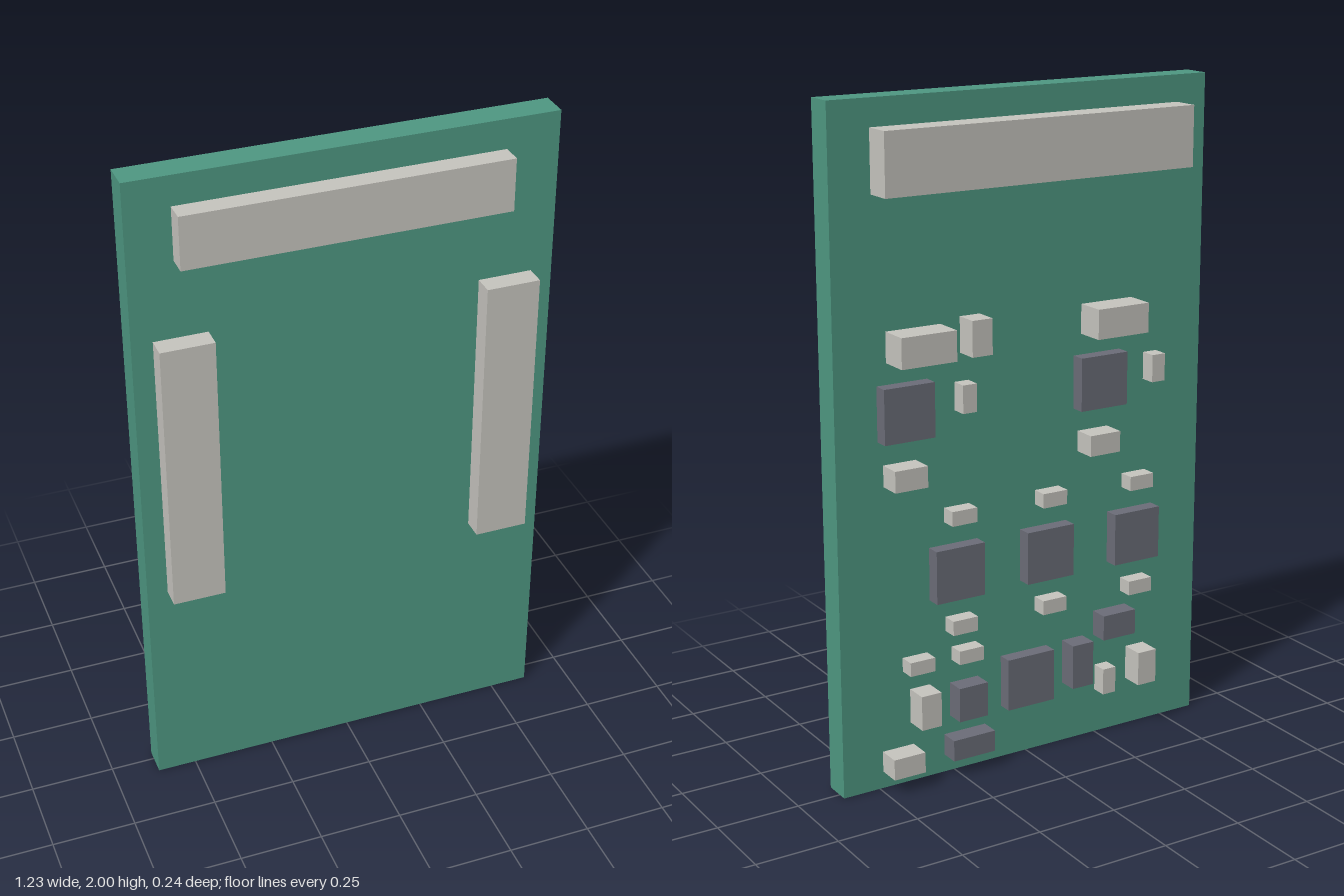
import * as THREE from 'three';

export function createModel() {
  const root = new THREE.Group();
  root.name = 'circuitBoard';

  const mat = (name, color) => {
    const m = new THREE.MeshStandardMaterial({ color });
    m.name = name;
    return m;
  };
  const green = mat('boardGreen', 0x4f9983);
  const pale = mat('paleGrey', 0xc8c6c0);
  const dark = mat('darkGrey', 0x6c6e79);

  const FRONT = 0.057, BACK = -0.028;

  // Box given by its extents on each axis
  function box(name, material, x0, x1, y0, y1, z0, z1) {
    const mesh = new THREE.Mesh(new THREE.BoxGeometry(x1 - x0, y1 - y0, z1 - z0), material);
    mesh.position.set((x0 + x1) / 2, (y0 + y1) / 2, (z0 + z1) / 2);
    mesh.name = name;
    root.add(mesh);
  }
  // Component standing on the back of the board
  const onBack = (name, material, height, x0, x1, y0, y1) =>
    box(name, material, x0, x1, y0, y1, BACK - height, BACK);

  box('board', green, -0.617, 0.617, 0, 2, BACK, FRONT);

  // Front connectors
  box('topFrontConnector', pale, -0.487, 0.461, 1.753, 1.911, FRONT, 0.119);
  box('rightFrontConnector', pale, -0.556, -0.4, 0.677, 1.52, FRONT, 0.119);
  box('leftFrontConnector', pale, 0.393, 0.553, 0.677, 1.52, FRONT, 0.119);

  // Long connector at the top of the back
  onBack('backConnector', pale, 0.083, -0.518, 0.491, 1.742, 1.921);

  // Two regulator clusters: large capacitor, chip, small and medium parts
  for (const cx of [0.405, -0.245]) {
    onBack('largeCapacitor', pale, 0.091, cx - (cx > 0 ? 0.125 : 0.12), cx + (cx > 0 ? 0.049 : 0.055), 1.272, 1.361);
    onBack('regulatorChip', dark, 0.044, cx - 0.08, cx + 0.08, 1.05, 1.21);
    onBack('smallUprightResistor', pale, 0.048, cx - 0.213, cx - 0.168, 1.105, 1.188);
    onBack('mediumCapacitor', pale, 0.07, cx - 0.04, cx + 0.064, 0.917, 0.98);
  }
  onBack('uprightCapacitor', pale, 0.07, 0.153, 0.218, 1.27, 1.375);

  // Row of three chips, each between two small resistors
  for (const cx of [0.246, -0.061, -0.37]) {
    onBack('rowChip', dark, 0.044, cx - 0.08, cx + 0.08, 0.55, 0.71);
    for (const y of [0.8, 0.467])
      onBack('rowResistor', pale, 0.048, cx - 0.053, cx + 0.029, y - 0.022, y + 0.022);
  }

  // Lower cluster, pale parts: [height, x0, x1, y0, y1]
  for (const p of [
    [0.048, 0.337, 0.418, 0.35, 0.392],
    [0.048, 0.174, 0.255, 0.35, 0.392],
    [0.07, 0.33, 0.395, 0.185, 0.29],
    [0.07, 0.386, 0.488, 0.052, 0.115],
    [0.048, -0.295, -0.25, 0.14, 0.222],
    [0.07, -0.43, -0.365, 0.152, 0.258],
  ]) onBack('lowerCapacitor', pale, ...p);

  // Lower cluster, dark parts
  for (const p of [
    [0.058, 0.167, 0.262, 0.175, 0.28],
    [0.058, 0.143, 0.283, 0.055, 0.12],
    [0.044, -0.073, 0.087, 0.165, 0.325],
    [0.06, -0.204, -0.131, 0.19, 0.328],
    [0.058, -0.358, -0.243, 0.322, 0.4],
  ]) onBack('lowerChip', dark, ...p);

  return root;
}
